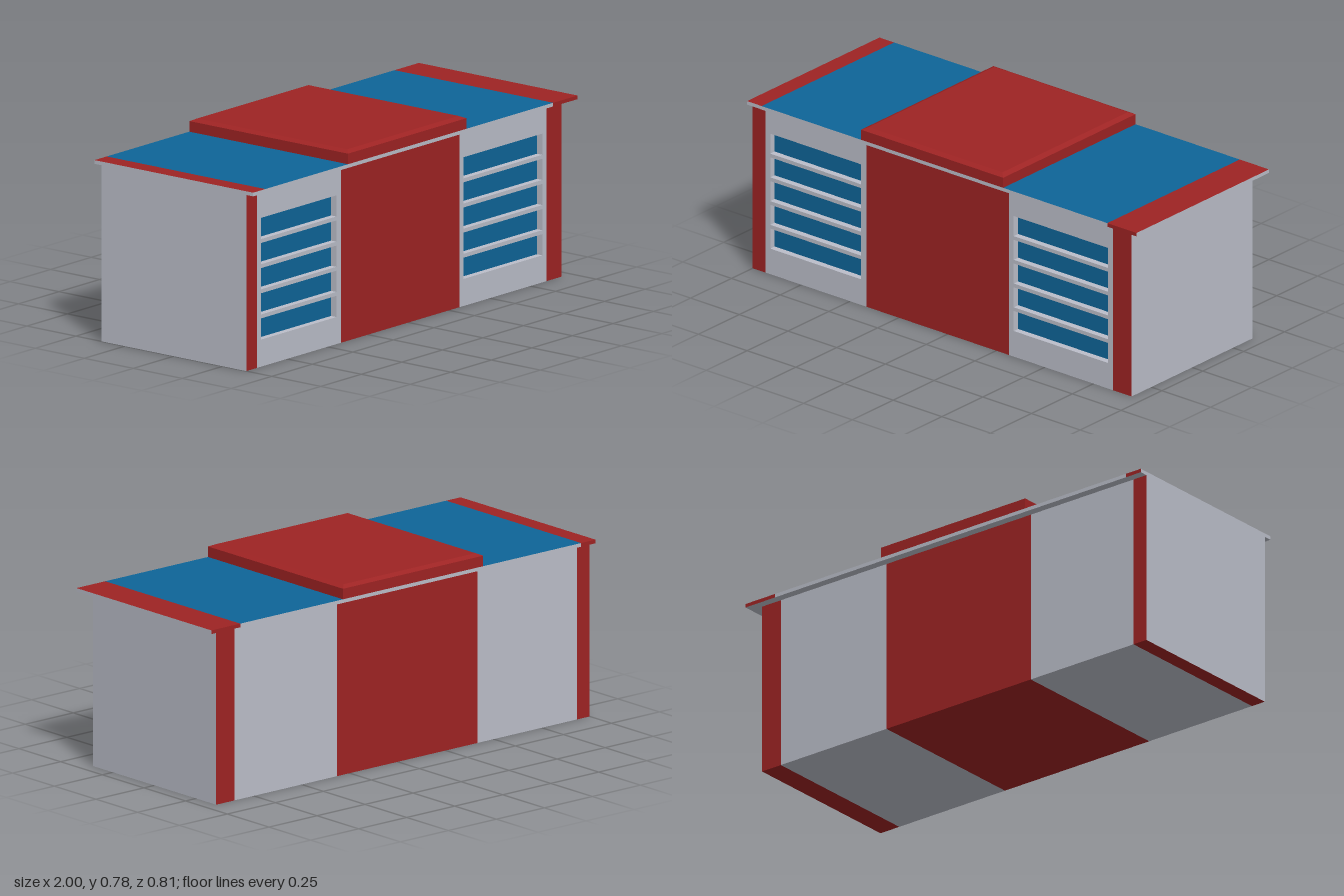
import * as THREE from 'three';

const mat = (name, color) => {
  const m = new THREE.MeshStandardMaterial({ color });
  m.name = name;
  return m;
};

export function createModel() {
  const red = mat('red', 0x9e2323);
  const blue = mat('blue', 0x0e6598);
  const grey = mat('grey', 0xbbbec9);
  const model = new THREE.Group();
  model.name = 'kiosk';

  const add = (name, geometry, material, parent = model) => {
    const mesh = new THREE.Mesh(geometry, material);
    mesh.name = name;
    parent.add(mesh);
    return mesh;
  };

  // box given by its limits
  const block = (name, [x0, x1], [y0, y1], [z0, z1], material, parent) => {
    const g = new THREE.BoxGeometry(x1 - x0, y1 - y0, z1 - z0);
    g.translate((x0 + x1) / 2, (y0 + y1) / 2, (z0 + z1) / 2);
    return add(name, g, material, parent);
  };

  const wallTop = 0.715, roofTop = 0.73, front = 0.37, eave = 0.405, recess = 0.03;
  const height = [0, wallTop], depth = [-front, front];

  // red wall sections; the outer end faces are grey
  block('rightCornerBand', [-1, -0.935], height, depth, [red, grey, red, red, red, red]);
  block('centreSection', [-0.415, 0.315], height, depth, red);
  block('leftCornerBand', [0.85, 0.945], height, depth, [grey, red, red, red, red, red]);

  // grey sections with five recessed louvre openings
  const louvreSection = (name, x0, x1, openLeft, openRight) => {
    const group = new THREE.Group();
    group.name = name;
    model.add(group);
    block('wall', [x0, x1], height, [-front, front - recess], grey, group);

    const rect = (shape, a, b, c, d) =>
      shape.moveTo(a, c).lineTo(b, c).lineTo(b, d).lineTo(a, d).closePath();
    const panel = new THREE.Shape();
    rect(panel, x0, x1, 0, wallTop);
    for (let i = 0; i < 5; i++) {
      const y = 0.11 + i * 0.102;
      const hole = new THREE.Path();
      rect(hole, openLeft, openRight, y, y + 0.086);
      panel.holes.push(hole);
      block('louvrePane', [openLeft, openRight], [y, y + 0.086],
        [front - recess, front - recess + 0.003], blue, group);
    }
    const g = new THREE.ExtrudeGeometry(panel, { depth: recess, bevelEnabled: false });
    g.translate(0, 0, front - recess);
    add('louvreFrame', g, grey, group);
  };
  louvreSection('rightLouvreSection', -0.935, -0.415, -0.91, -0.445);
  louvreSection('leftLouvreSection', 0.315, 0.85, 0.34, 0.825);

  // overhanging roof slab in coloured bands: +x, -x, top, bottom, front, back
  const roofY = [wallTop, roofTop], roofZ = [-eave, eave];
  block('roofRightEdge', [-1, -0.925], roofY, roofZ, [grey, grey, red, grey, grey, red]);
  block('roofRightPanel', [-0.925, -0.415], roofY, roofZ, [grey, grey, blue, grey, grey, grey]);
  block('roofCentre', [-0.415, 0.315], roofY, roofZ, grey);
  block('roofLeftPanel', [0.315, 0.85], roofY, roofZ, [grey, grey, blue, grey, grey, grey]);
  block('roofLeftEdge', [0.85, 1], roofY, roofZ, [grey, grey, red, grey, red, red]);

  // raised roof cap with a chamfered top rim
  const capWidth = 0.73, capHeight = 0.053, inset = 0.022;
  let cap = new THREE.BoxGeometry(capWidth, capHeight, eave * 2, 1, 2, 1);
  const p = cap.attributes.position;
  for (let i = 0; i < p.count; i++) {
    if (p.getY(i) > 0.01) {
      p.setX(i, p.getX(i) - Math.sign(p.getX(i)) * inset);
      p.setZ(i, p.getZ(i) - Math.sign(p.getZ(i)) * inset);
    } else if (Math.abs(p.getY(i)) < 0.01) {
      p.setY(i, capHeight / 2 - 0.01);
    }
  }
  cap = cap.toNonIndexed();
  cap.computeVertexNormals();
  cap.translate(-0.05, roofTop + capHeight / 2, 0);
  add('roofCap', cap, red);

  return model;
}
